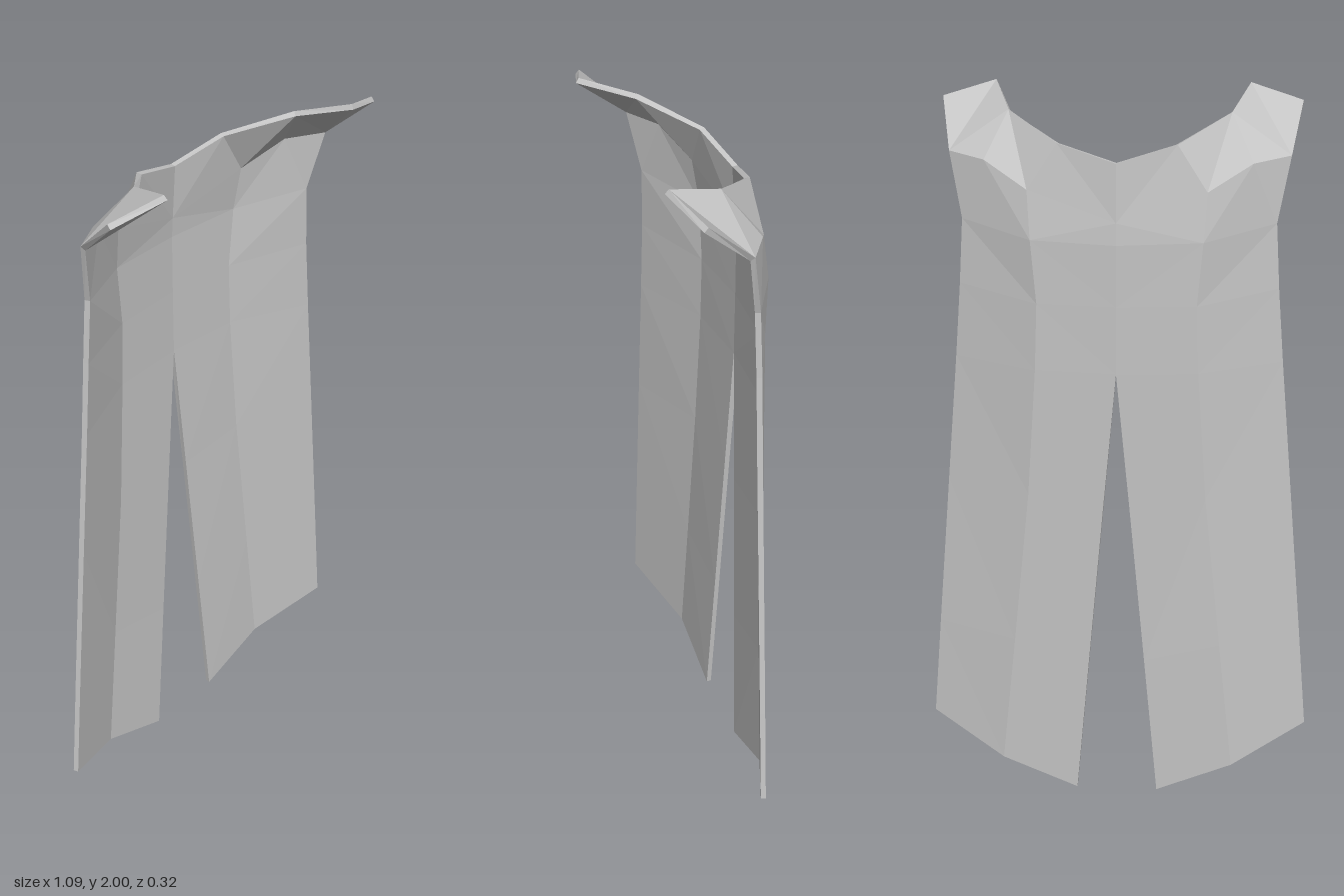
import * as THREE from 'three';

// Half of the cape's mid-surface; each row runs from the spine to the outer edge
const ROWS = [
  [[0.116, 0, -0.137], [0.33, 0.092, -0.13], [0.541, 0.189, -0.042]],      // hem
  [[0.077, 0.45, -0.143], [0.285, 0.5, -0.133], [0.51, 0.5, -0.042]],
  [[0.035, 0.93, -0.149], [0.235, 0.96, -0.136], [0.463, 0.96, -0.042]],
  [[0, 1.32, -0.154], [0.208, 1.32, -0.139], [0.426, 1.32, -0.042]],       // top of the slit
  [[0, 1.5, -0.154], [0.2, 1.5, -0.138], [0.407, 1.52, -0.042]],
  [[0, 1.66, -0.153], [0.213, 1.665, -0.135], [0.394, 1.69, -0.038]],      // shoulder line
  [[0, 1.715, -0.149], [0.22, 1.785, -0.116], [0.33, 1.845, -0.065], [0.425, 1.85, -0.008]],
  [[0, 1.86, -0.138], [0.145, 1.9, -0.108], [0.275, 1.95, 0.015], [0.323, 1.994, 0.155], [0.457, 1.96, 0.115]], // neckline
];
const THICKNESS = 0.014;

function halfFaces() {
  const faces = [];
  // Lower panels: [row, column] corners
  for (let r = 0; r < 5; r++) {
    for (let c = 0; c < 2; c++) faces.push([[r, c], [r, c + 1], [r + 1, c + 1], [r + 1, c]]);
  }
  // Yoke across the shoulders
  faces.push([[5, 1], [6, 1], [6, 0], [5, 0]], [[5, 1], [5, 2], [6, 2], [6, 1]], [[5, 2], [6, 3], [6, 2]]);
  // Collar and the clasp tab
  for (let c = 0; c < 2; c++) faces.push([[6, c], [6, c + 1], [7, c + 1], [7, c]]);
  faces.push([[6, 3], [7, 4], [7, 3], [7, 2]], [[6, 2], [6, 3], [7, 2]]);
  return faces;
}

function capeGeometry() {
  const points = [], ids = new Map(), tris = [];
  const vertex = ([r, c], side) => {
    const [x, y, z] = ROWS[r][c];
    const key = `${r},${c},${x === 0 ? 0 : side}`;
    if (!ids.has(key)) {
      ids.set(key, points.length);
      points.push(new THREE.Vector3(x * side, y, z));
    }
    return ids.get(key);
  };
  for (const side of [1, -1]) {
    for (const face of halfFaces()) {
      const v = face.map((f) => vertex(f, side));
      for (let i = 1; i < v.length - 1; i++) {
        tris.push(side > 0 ? [v[0], v[i], v[i + 1]] : [v[0], v[i + 1], v[i]]);
      }
    }
  }

  // Vertex normals give the direction of the cloth's thickness
  const normals = points.map(() => new THREE.Vector3());
  for (const [a, b, c] of tris) {
    const n = points[b].clone().sub(points[a]).cross(points[c].clone().sub(points[a])).normalize();
    for (const i of [a, b, c]) normals[i].add(n);
  }
  const layer = (d) => points.map((p, i) => p.clone().addScaledVector(normals[i].clone().normalize(), d));
  const lining = layer(THICKNESS / 2), outside = layer(-THICKNESS / 2);

  const pos = [];
  const tri = (...corners) => corners.forEach((p) => pos.push(p.x, p.y, p.z));
  const edges = new Set();
  for (const t of tris) {
    const [a, b, c] = t;
    tri(lining[a], lining[b], lining[c]);
    tri(outside[a], outside[c], outside[b]);
    for (let i = 0; i < 3; i++) edges.add(`${t[i]}_${t[(i + 1) % 3]}`);
  }
  // Thin walls close the open border
  for (const e of edges) {
    const [a, b] = e.split('_').map(Number);
    if (edges.has(`${b}_${a}`)) continue;
    tri(lining[a], outside[a], outside[b]);
    tri(lining[a], outside[b], lining[b]);
  }
  const geometry = new THREE.BufferGeometry();
  geometry.setAttribute('position', new THREE.Float32BufferAttribute(pos, 3));
  geometry.computeVertexNormals();
  return geometry;
}

export function createModel() {
  const group = new THREE.Group();
  group.name = 'splitCape';
  const cloth = new THREE.MeshStandardMaterial({ color: 0xc4c4c4 });
  cloth.name = 'greyCloth';
  const cape = new THREE.Mesh(capeGeometry(), cloth);
  cape.name = 'cape';
  group.add(cape);
  return group;
}
